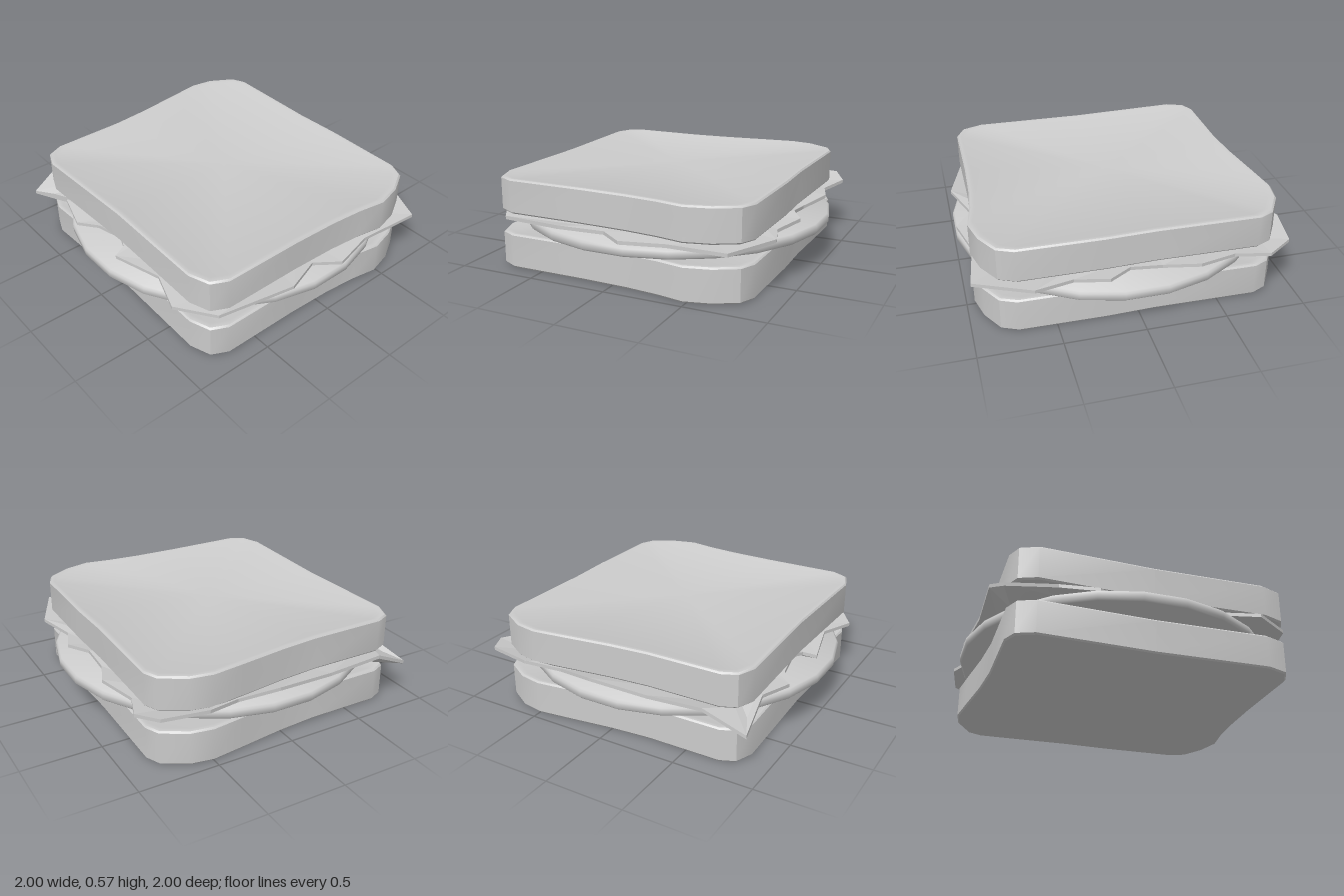
import * as THREE from 'three';
import { toCreasedNormals } from 'three/addons/utils/BufferGeometryUtils.js';

// Outline of a bread slice, [x, z], clockwise from above
const BREAD = [
  [-0.74, -0.83], [-0.1, -0.82], [0.2, -0.83], [0.73, -0.825], [0.83, -0.78],
  [0.91, -0.64], [0.95, -0.48], [0.92, -0.31], [0.9, -0.1], [0.89, 0.2],
  [0.89, 0.7], [0.84, 0.8], [0.71, 0.845], [0, 0.83], [-0.71, 0.855],
  [-0.82, 0.81], [-0.86, 0.72], [-0.86, 0.25], [-0.88, 0], [-0.92, -0.3],
  [-0.945, -0.5], [-0.92, -0.64], [-0.83, -0.79],
];

// Ragged edge of the leaf, [x, z, height of its underside]
const LEAF = [
  [-0.94, -0.83, 0.35], [-0.79, -0.915, 0.33], [-0.59, -0.84, 0.31], [-0.35, -0.915, 0.33],
  [-0.14, -0.83, 0.3], [0.06, -0.83, 0.32], [0.2, -0.915, 0.32], [0.4, -0.84, 0.3],
  [0.64, -0.915, 0.32], [0.98, -0.76, 0.32], [0.93, -0.37, 0.3], [0.995, -0.1, 0.3],
  [0.89, 0.05, 0.305], [0.99, 0.3, 0.335], [0.87, 0.76, 0.3], [0.64, 0.915, 0.295],
  [0.4, 0.83, 0.31], [0.07, 0.91, 0.295], [0.04, 0.83, 0.31], [-0.04, 0.8, 0.325],
  [-0.24, 0.83, 0.3], [-0.36, 0.915, 0.295], [-0.59, 0.85, 0.315], [-0.91, 0.91, 0.235],
  [-0.955, 0.66, 0.355], [-0.95, 0.3, 0.33], [-0.975, -0.08, 0.35], [-0.92, -0.33, 0.32],
  [-0.99, -0.55, 0.35],
];

// Skin a stack of closed rings (bottom to top), capping both ends with a fan
function loft(rings, bottomY, topY) {
  const n = rings[0].length;
  const pos = [];
  const tri = (a, b, c) => pos.push(...a, ...b, ...c);
  const last = rings[rings.length - 1];
  for (let i = 0; i < n; i++) {
    const j = (i + 1) % n;
    tri(rings[0][j], [0, bottomY, 0], rings[0][i]);
    for (let k = 0; k + 1 < rings.length; k++) {
      const lo = rings[k], hi = rings[k + 1];
      tri(lo[j], lo[i], hi[i]);
      tri(lo[j], hi[i], hi[j]);
    }
    tri(last[j], last[i], [0, topY, 0]);
  }
  const g = new THREE.BufferGeometry();
  g.setAttribute('position', new THREE.Float32BufferAttribute(pos, 3));
  g.computeVertexNormals();
  return g;
}

// Bread slice with a rounded crust and a slightly sunken crumb
function breadGeometry(h) {
  const profile = [
    [0.955, 0.005], [0.968, 0], [0.99, 0], [1, 0.01],
    [1, h - 0.01], [0.99, h], [0.968, h], [0.955, h - 0.005],
  ];
  const rings = profile.map(([s, y]) => BREAD.map(([x, z]) => [x * s, y, z * s]));
  return toCreasedNormals(loft(rings, 0.005, h - 0.005), 0.6);
}

// Thin crumpled sheet: flat in the middle, wavy at the rim
function leafGeometry() {
  const t = 0.022, midY = 0.3;
  const rim = (dy) => LEAF.map(([x, z, y]) => [x, y + dy, z]);
  const inner = (dy) => LEAF.map(([x, z]) => [x * 0.84, midY + dy, z * 0.84]);
  return loft([inner(0), rim(0), rim(t), inner(t)], midY, midY + t);
}

// Round slice with softened edges, flat sides towards the axes
function discGeometry() {
  const r = 1 / Math.cos(Math.PI / 24), y0 = 0.23, y1 = 0.293, b = 0.012;
  const pts = [[0, y0], [r - b, y0], [r, y0 + b], [r, y1 - b], [r - b, y1], [0, y1]]
    .map(([x, y]) => new THREE.Vector2(x, y));
  const g = new THREE.LatheGeometry(pts, 24);
  g.rotateY(Math.PI / 24);
  return toCreasedNormals(g, 0.9);
}

export function createModel() {
  const group = new THREE.Group();
  group.name = 'sandwich';
  const smooth = new THREE.MeshStandardMaterial({ color: 0xcccccc });
  const faceted = new THREE.MeshStandardMaterial({
    color: 0xcccccc, flatShading: true, side: THREE.DoubleSide,
  });
  const add = (name, geometry, material, y = 0) => {
    const mesh = new THREE.Mesh(geometry, material);
    mesh.name = name;
    mesh.position.y = y;
    group.add(mesh);
  };

  const bread = breadGeometry(0.218);
  add('bottomBread', bread, smooth);
  add('filling', discGeometry(), smooth);
  add('lettuce', leafGeometry(), faceted);
  add('topBread', bread, smooth, 0.348);
  return group;
}
